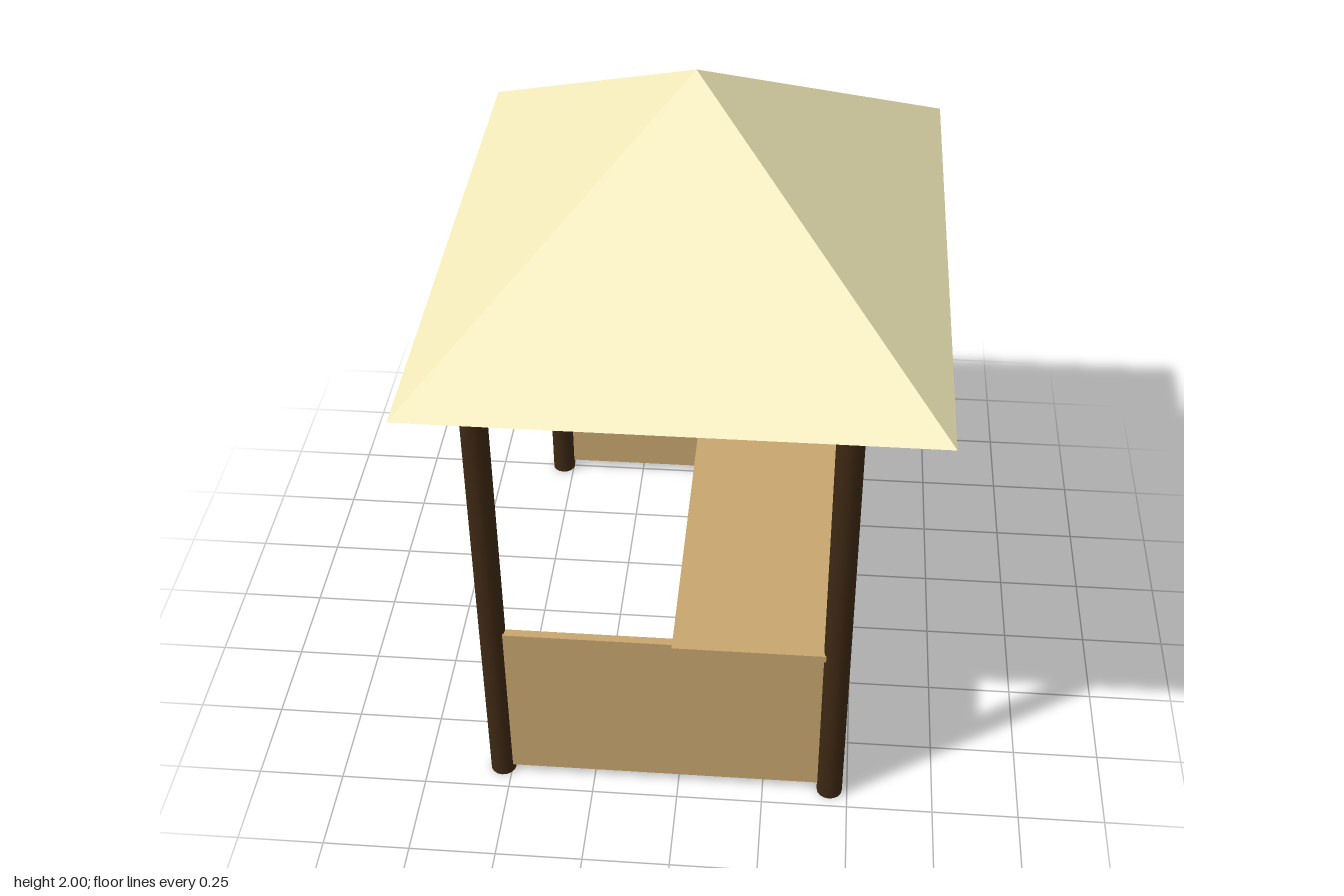
import * as THREE from 'three';

export function createModel() {
  const model = new THREE.Group();
  const wood = new THREE.MeshStandardMaterial({ color: 0xc8a66e });
  const darkWood = new THREE.MeshStandardMaterial({ color: 0x3d2813 });
  const thatch = new THREE.MeshStandardMaterial({ color: 0xf0e8b8, flatShading: true });

  const add = (name, geometry, material) => {
    const mesh = new THREE.Mesh(geometry, material);
    mesh.name = name;
    model.add(mesh);
    return mesh;
  };

  // A board given by its extents along each axis
  const board = (name, [x0, x1], [y0, y1], [z0, z1]) =>
    add(name, new THREE.BoxGeometry(x1 - x0, y1 - y0, z1 - z0), wood)
      .position.set((x0 + x1) / 2, (y0 + y1) / 2, (z0 + z1) / 2);

  // Four round posts, set slightly out of square
  const eaves = 1.445;
  const posts = {
    frontLeftPost: [0.448, 0.685],
    frontRightPost: [-0.527, 0.668],
    backLeftPost: [0.44, -0.767],
    backRightPost: [-0.535, -0.748],
  };
  for (const [name, [x, z]] of Object.entries(posts)) {
    add(name, new THREE.CylinderGeometry(0.0375, 0.0375, eaves, 16), darkWood)
      .position.set(x, eaves / 2, z);
  }

  // Low walls on three sides; the right side stays open
  board('frontPanel', [-0.495, 0.43], [0.03, 0.565], [0.665, 0.69]);
  board('backPanel', [-0.505, 0.43], [0.03, 0.56], [-0.77, -0.745]);
  board('sidePanel', [0.432, 0.457], [0.03, 0.63], [-0.74, 0.655]);

  // Counter along the inside of the tall side wall
  board('counter', [-0.015, 0.432], [0.545, 0.567], [-0.77, 0.705]);

  // Pyramid roof with a closed underside
  const height = 2 - eaves;
  const roof = new THREE.ConeGeometry(Math.SQRT2, height, 4).rotateY(Math.PI / 4).scale(0.702, 1, 0.855);
  add('roof', roof, thatch).position.y = eaves + height / 2;

  return model;
}
